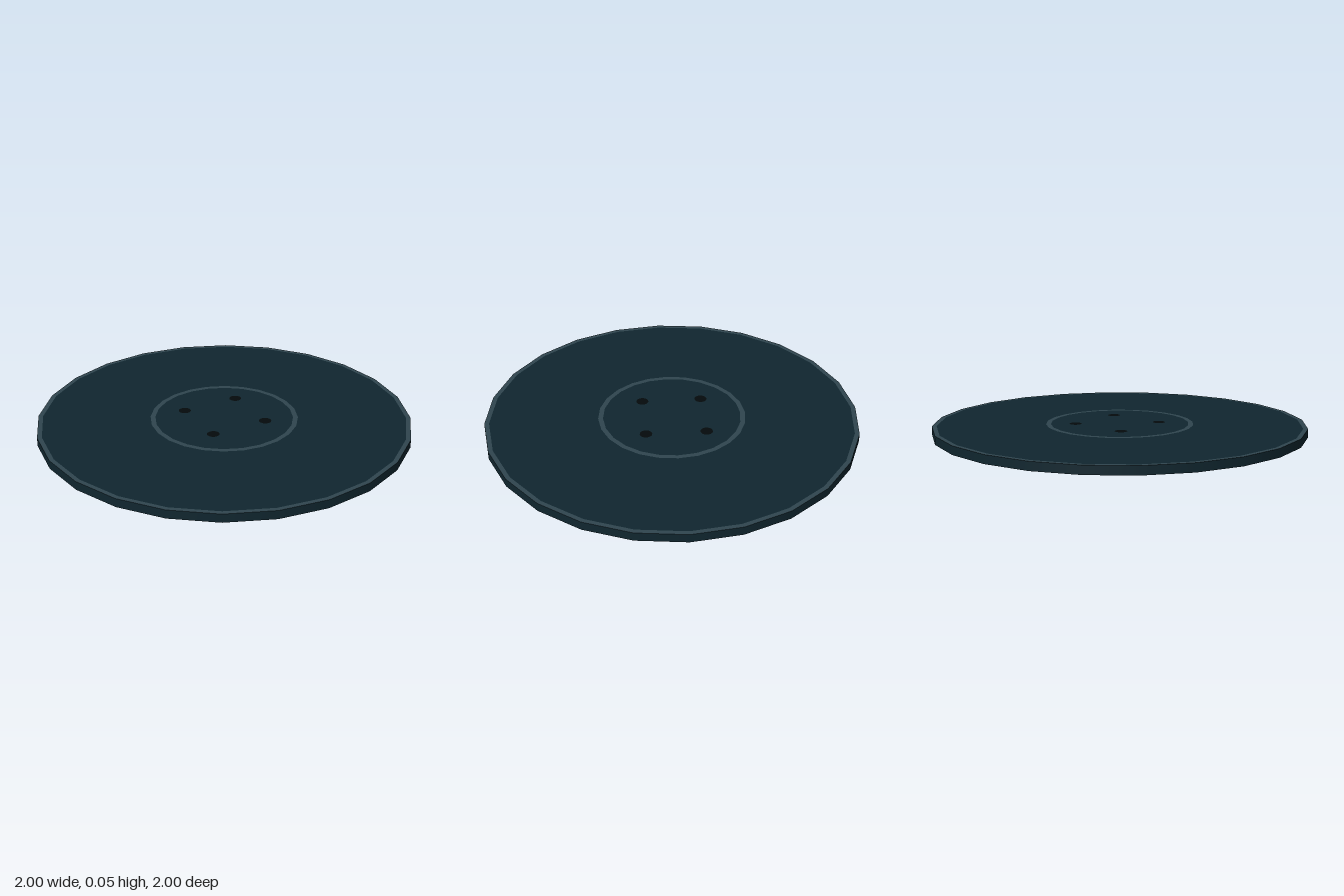
import * as THREE from 'three';

const SIDES = 24, HEIGHT = 0.046;

export function createModel() {
  const group = new THREE.Group();
  const paint = (color) => new THREE.MeshStandardMaterial({ color, side: THREE.DoubleSide });
  const dark = paint(0x10262f), light = paint(0x2f454f), black = paint(0x040a0c);

  const add = (name, geometry, material, x, y, z) => {
    const mesh = new THREE.Mesh(geometry, material);
    mesh.name = name;
    mesh.position.set(x, y, z);
    group.add(mesh);
  };

  // Smooth outer wall, open underneath
  add('edge', new THREE.CylinderGeometry(1, 1, HEIGHT, SIDES, 1, true), dark, 0, HEIGHT / 2, 0);

  // Concentric flat bands forming the thin top
  const bands = [
    ['hub', 0, 0.37, dark],
    ['innerRing', 0.37, 0.396, light],
    ['plate', 0.396, 0.975, dark],
    ['rim', 0.975, 1, light],
  ];
  for (const [name, inner, outer, material] of bands) {
    const geometry = inner
      ? new THREE.RingGeometry(inner, outer, SIDES)
      : new THREE.CircleGeometry(outer, SIDES);
    add(name, geometry.rotateX(-Math.PI / 2), material, 0, HEIGHT, 0);
  }

  // Four dark bolt holes on the hub, seen only from above
  for (const x of [-0.15, 0.166]) {
    for (const z of [-0.17, 0.15]) {
      add('boltHole', new THREE.CircleGeometry(0.033, SIDES).rotateX(-Math.PI / 2), black, x, HEIGHT + 0.001, z);
    }
  }
  return group;
}
